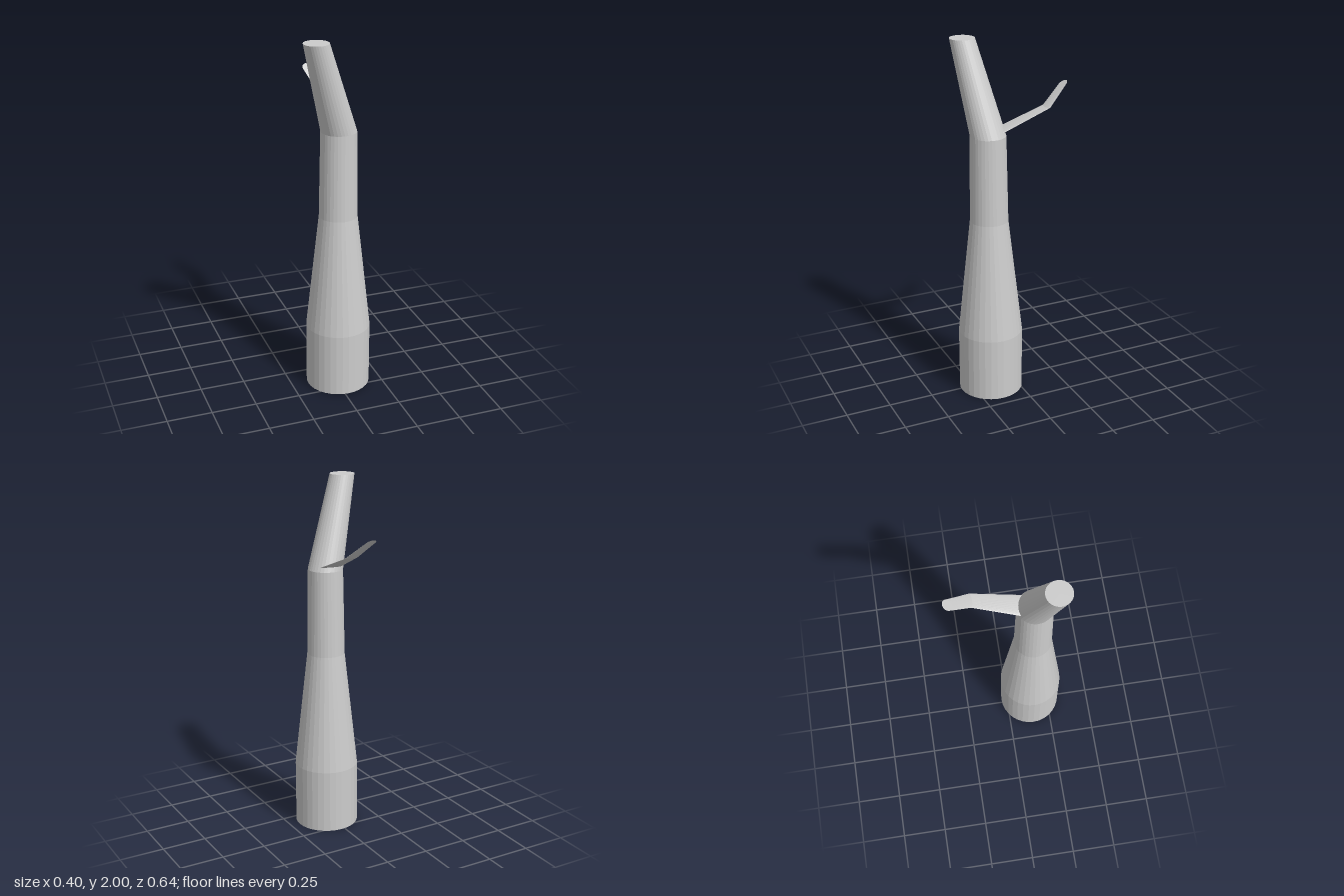
import * as THREE from 'three';

const SIDES = 32;

// Lofts a capped tube through elliptical rings: { c: centre, u, v: half axes }
function loft(rings) {
  const pos = [];
  const point = ({ c, u, v }, j) => {
    const a = (j / SIDES) * Math.PI * 2;
    return c.map((n, k) => n + u[k] * Math.cos(a) + v[k] * Math.sin(a));
  };
  const tri = (...pts) => pts.forEach((p) => pos.push(...p));
  const first = rings[0], last = rings[rings.length - 1];
  for (let j = 0; j < SIDES; j++) {
    for (let i = 0; i < rings.length - 1; i++) {
      const a = point(rings[i], j), b = point(rings[i], j + 1);
      const c = point(rings[i + 1], j + 1), d = point(rings[i + 1], j);
      tri(a, b, c);
      tri(a, c, d);
    }
    tri(first.c, point(first, j + 1), point(first, j));
    tri(last.c, point(last, j), point(last, j + 1));
  }
  const geo = new THREE.BufferGeometry();
  geo.setAttribute('position', new THREE.Float32BufferAttribute(pos, 3));
  geo.computeVertexNormals();
  return geo;
}

const round = (x, y, z, r) => ({ c: [x, y, z], u: [r, 0, 0], v: [0, 0, -r] });

export function createModel() {
  const group = new THREE.Group();
  group.name = 'branchedTrunk';
  const grey = new THREE.MeshStandardMaterial({ color: 0xcccccc, flatShading: true, side: THREE.DoubleSide });
  grey.name = 'light grey';

  const add = (name, rings) => {
    const mesh = new THREE.Mesh(loft(rings), grey);
    mesh.name = name;
    group.add(mesh);
  };

  // Tapered trunk with a leaning top
  add('trunk', [
    round(0.02, 0, 0.143, 0.178),
    round(0.02, 0.36, 0.143, 0.178),
    round(0.018, 1.02, 0.145, 0.105),
    round(0.018, 1.5, 0.147, 0.097),
    round(-0.132, 2, 0.225, 0.068),
  ]);

  // Thin flattened side branch, bent upward halfway
  add('sideBranch', [
    { c: [0.026, 1.525, 0.075], u: [0.057, 0, 0.01], v: [0, 0.005, -0.03] },
    { c: [0.049, 1.628, -0.181], u: [0.039, 0, 0], v: [0, 0.002, -0.01] },
    { c: [0.002, 1.725, -0.298], u: [0.03, 0, 0], v: [0, 0.019, -0.025] },
  ]);

  return group;
}
